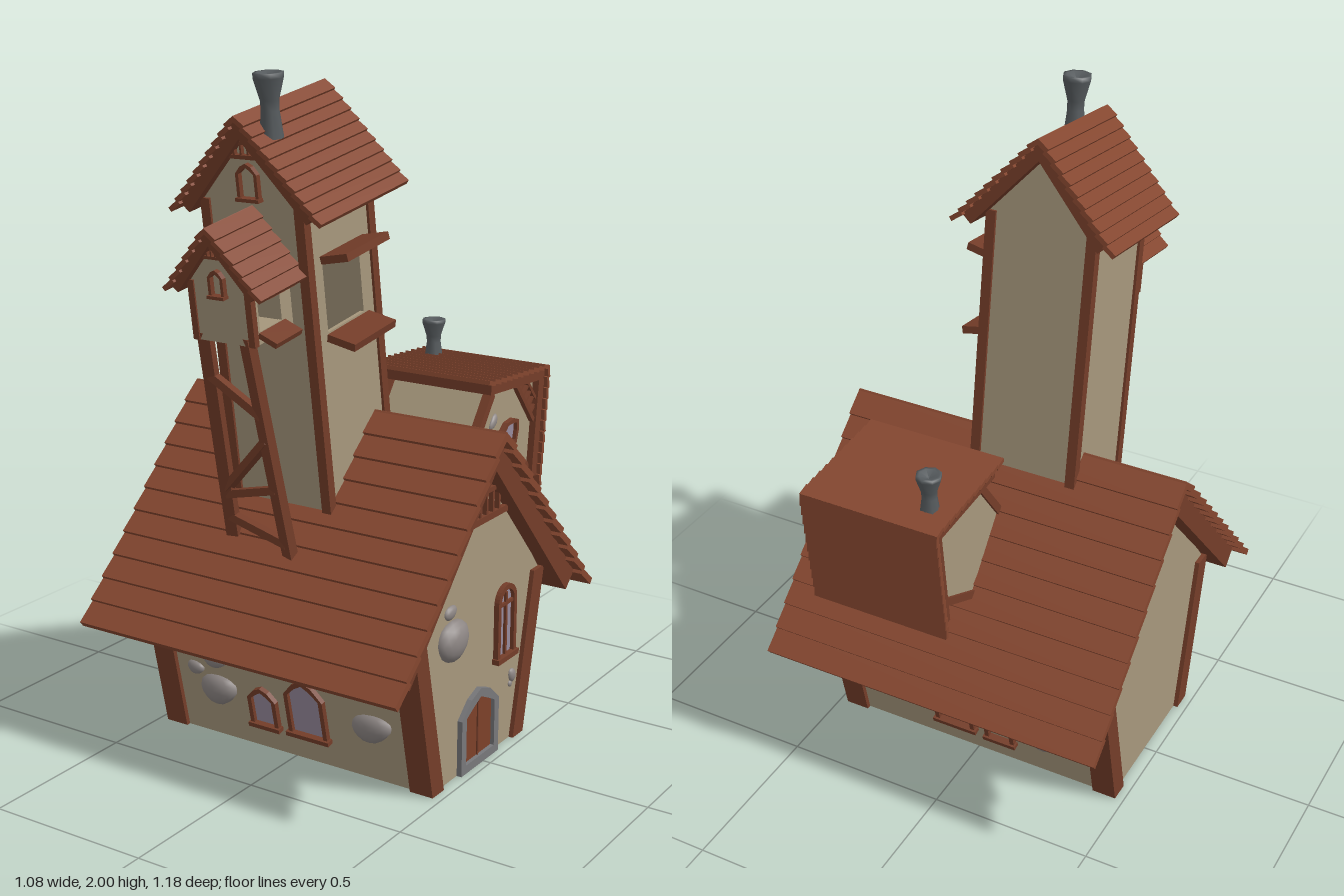
import * as THREE from 'three';

const material = (name, color) => Object.assign(new THREE.MeshStandardMaterial({ color }), { name });
const wall = material('plaster', 0xa6977c);
const wood = material('timber', 0x743d29);
const tile = material('roof boards', 0x84462f);
const stone = material('stone', 0x8c8583);
const glass = material('glass', 0x968a9c);
const iron = material('chimney metal', 0x565b5e);
const doorRed = material('door boards', 0x7c4029);
const arch = material('door arch stone', 0x77777a);

function add(parent, name, geo, mat, x = 0, y = 0, z = 0) {
  const m = new THREE.Mesh(geo, mat);
  m.name = name;
  m.position.set(x, y, z);
  parent.add(m);
  return m;
}
const box = (p, name, mat, w, h, d, x, y, z) => add(p, name, new THREE.BoxGeometry(w, h, d), mat, x, y, z);
const poly = (pts) => new THREE.Shape(pts.map((p) => new THREE.Vector2(...p)));
const extrude = (shape, depth) => new THREE.ExtrudeGeometry(shape, { depth, bevelEnabled: false, curveSegments: 8 });

// Overlapping boards on both slopes, over a timber chevron; ridge runs along z
function roof(g, { ridge, run, drop, z0, z1, rows, thick, slab, inset }) {
  const phi = Math.atan2(drop, run), step = Math.hypot(run, drop) / rows;
  const tilt = thick / step * 0.55;
  for (const s of [-1, 1]) {
    for (let i = 0; i < rows; i++) {
      const d = (i + 0.5) * step;
      const b = box(g, 'roofBoard', tile, step * 1.12, thick, z1 - z0,
        s * d * Math.cos(phi), ridge - thick * 0.5 - d * Math.sin(phi), (z0 + z1) / 2);
      b.rotation.z = -s * (phi - tilt);
    }
  }
  const m = drop / run, a = ridge - thick * 1.1, r = run * 0.9;
  const ix = r - slab * Math.sin(phi), iy = a - r * m - slab * Math.cos(phi);
  const chevron = poly([[0, a], [-r, a - r * m], [-ix, iy], [0, a - slab / Math.cos(phi)], [ix, iy], [r, a - r * m]]);
  add(g, 'roofFrame', extrude(chevron, z1 - z0 - 2 * inset), wood, 0, 0, z0 + inset);
}

// Gabled walls with corner posts; an opening [z0, z1, y0, y1] makes it hollow
function walls(g, { base, eave, y0, y1, apex, z0, z1, postW, postD, out, opening, frontOnly }) {
  const b = base - out, e = eave - out;
  const gable = poly([[-b, y0], [b, y0], [e, y1], [0, apex], [-e, y1]]);
  if (!opening) add(g, 'walls', extrude(gable, z1 - z0), wall, 0, 0, z0);
  else {
    const t = 0.012;
    add(g, 'frontWall', extrude(gable, t), wall, 0, 0, z1 - t);
    if (!frontOnly) add(g, 'backWall', extrude(gable, t), wall, 0, 0, z0);
    box(g, 'floor', wall, 2 * b, t, z1 - z0, 0, y0 + t / 2, (z0 + z1) / 2);
    box(g, 'plainSideWall', wall, t, y1 - y0, z1 - z0, -b + t / 2, (y0 + y1) / 2, (z0 + z1) / 2);
    const side = poly([[-z1, y0], [-z0, y0], [-z0, y1], [-z1, y1]]);
    const [a, c, l, h] = opening;
    side.holes.push(poly([[-c, l], [-c, h], [-a, h], [-a, l]]));
    add(g, 'openSideWall', extrude(side, t).rotateY(Math.PI / 2), wall, b - t, 0, 0);
  }
  for (const s of [-1, 1]) {
    const post = poly([[s * (base - postW), y0], [s * base, y0], [s * eave, y1], [s * (eave - postW), y1]]);
    add(g, 'cornerPost', extrude(post, postD), wood, 0, 0, z1 + out - postD);
    if (!frontOnly) add(g, 'cornerPost', extrude(post, postD), wood, 0, 0, z0 - out);
  }
}

// Small balustrade filling the top of a gable
function truss(g, y, half, h, slope, z, bars, w) {
  box(g, 'trussBeam', wood, 2 * half, w * 1.4, 0.02, 0, y, z);
  const top = half - h / slope;
  box(g, 'trussBeam', wood, 2 * top, w, 0.02, 0, y + h, z);
  for (let i = 0; i < bars; i++) {
    const x = (i / (bars - 1) - 0.5) * (half + top) * 0.9;
    box(g, 'trussBar', wood, w * 0.7, h, 0.016, x, y + h / 2, z);
  }
}

// Window and door outlines: pointed or round top
function outline(w, h, round, inset = 0) {
  const r = w / 2 - inset, s = new THREE.Shape();
  s.moveTo(-r, inset).lineTo(r, inset);
  if (round) s.lineTo(r, h - w / 2).absarc(0, h - w / 2, r, 0, Math.PI, false);
  else s.lineTo(r, h * 0.72).lineTo(r * 0.5, h * 0.92 - inset).lineTo(0, h - inset)
    .lineTo(-r * 0.5, h * 0.92 - inset).lineTo(-r, h * 0.72);
  return s.closePath();
}
function windowAt(p, x, y, w, h, z, { round = false, pane = glass, frame = wood, bar = 0.014, sill = true } = {}) {
  const g = new THREE.Group();
  g.name = 'window';
  g.position.set(x, y, z);
  const ring = outline(w, h, round);
  ring.holes.push(outline(w, h, round, bar));
  add(g, 'frame', extrude(ring, 0.02), frame, 0, 0, -0.004);
  if (pane) add(g, 'pane', new THREE.ShapeGeometry(outline(w, h, round, bar * 0.8)), pane, 0, 0, 0.004);
  if (sill) box(g, 'sill', wood, w * 1.1, bar, 0.03, 0, bar / 2, 0.008);
  p.add(g);
  return g;
}

function rock(p, x, y, z, w, h, turn = 0.2) {
  const m = add(p, 'wallStone', new THREE.IcosahedronGeometry(1, 2), stone, x, y, z);
  const pos = m.geometry.attributes.position;
  for (let i = 0; i < pos.count; i++) {
    const a = pos.getX(i), b = pos.getY(i);
    pos.setXY(i, a * (1 + 0.18 * b), b * (1 - 0.22 * a));
  }
  m.geometry.computeBoundingSphere();
  m.scale.set(w / 2, h / 2, Math.min(w, h) * 0.35);
  m.rotation.z = turn;
}

function chimney(p, x, y, z, r, h, lean) {
  const pts = [[0.8, 0], [0.6, 0.42], [0.62, 0.58], [1, 0.92], [1, 1], [0.75, 1], [0, 0.9]]
    .map(([a, b]) => new THREE.Vector2(a * r, b * h));
  add(p, 'chimney', new THREE.LatheGeometry(pts, 8), iron, x, y, z).rotation.x = lean;
}

function beam(p, name, a, b, w) {
  const m = box(p, name, wood, w, w * 0.8, a.distanceTo(b), 0, 0, 0);
  m.position.copy(a).lerp(b, 0.5);
  m.lookAt(b);
}

function group(parent, name, pos, rot = [0, 0, 0]) {
  const g = new THREE.Group();
  g.name = name;
  g.position.set(...pos);
  g.rotation.set(...rot);
  parent.add(g);
  return g;
}

export function createModel() {
  const model = new THREE.Group();
  model.name = 'crookedHouse';

  // Main house, gable facing +x
  const main = group(model, 'mainHouse', [0, 0, 0.02], [0, Math.PI / 2, 0]);
  walls(main, { base: 0.265, eave: 0.375, y0: 0, y1: 0.5, apex: 0.95, z0: -0.46, z1: 0.46, postW: 0.062, postD: 0.075, out: 0.014 });
  roof(main, { ridge: 1.02, run: 0.56, drop: 0.61, z0: -0.54, z1: 0.54, rows: 11, thick: 0.02, slab: 0.067, inset: 0.03 });
  truss(main, 0.75, 0.135, 0.08, 1.1, 0.466, 6, 0.014);
  const archWin = windowAt(main, 0.15, 0.275, 0.11, 0.235, 0.46, { round: true, bar: 0.016 });
  box(archWin, 'mullion', wood, 0.01, 0.2, 0.016, 0, 0.11, 0.004);
  box(archWin, 'transom', wood, 0.09, 0.01, 0.016, 0, 0.175, 0.004);
  const door = windowAt(main, 0, 0, 0.215, 0.238, 0.46, { pane: doorRed, frame: arch, bar: 0.026, sill: false });
  door.name = 'door';
  box(door, 'doorSeam', wood, 0.006, 0.19, 0.008, 0, 0.11, 0.004);
  rock(main, -0.15, 0.435, 0.46, 0.14, 0.12, 0.3);
  rock(main, -0.16, 0.52, 0.46, 0.06, 0.04);
  rock(main, 0.21, 0.2, 0.46, 0.035, 0.045);
  rock(main, 0.2, 0.175, 0.46, 0.02, 0.02);

  // Details on the two leaning long walls
  for (const s of [1, -1]) {
    const face = group(model, s > 0 ? 'frontWallDetails' : 'backWallDetails', [0, 0, 0.02 + s * 0.251],
      [s * 0.2166, s > 0 ? 0 : Math.PI, 0]);
    const pane = s > 0 ? glass : null;
    windowAt(face, s * -0.09, 0.08, 0.1, 0.14, 0, { pane });
    windowAt(face, s * 0.065, 0.085, 0.135, 0.2, 0, { pane });
    rock(face, s * -0.25, 0.168, 0, 0.13, 0.1);
    rock(face, s * -0.25, 0.275, 0, 0.09, 0.06, 0);
    rock(face, s * -0.33, 0.225, 0, 0.06, 0.045, 0);
    rock(face, s * 0.29, 0.18, 0, 0.135, 0.09, 0.25);
  }

  // Leaning tower
  const tower = group(model, 'tower', [-0.055, 0.7, 0.08], [0.147, 0, 0]);
  walls(tower, { base: 0.17, eave: 0.17, y0: 0, y1: 0.985, apex: 1.18, z0: -0.165, z1: 0.16, postW: 0.03, postD: 0.03, out: 0.008, opening: [-0.09, 0.09, 0.61, 0.81] });
  roof(tower, { ridge: 1.235, run: 0.245, drop: 0.275, z0: -0.23, z1: 0.206, rows: 10, thick: 0.014, slab: 0.036, inset: 0.015 });
  truss(tower, 1.112, 0.055, 0.038, 1.14, 0.165, 4, 0.008);
  windowAt(tower, 0, 0.99, 0.07, 0.105, 0.16, { pane: null, bar: 0.01 });
  box(tower, 'awning', wood, 0.09, 0.022, 0.21, 0.212, 0.83, 0).rotation.z = 0.2;
  box(tower, 'shelf', wood, 0.09, 0.022, 0.21, 0.212, 0.59, 0).rotation.z = -0.2;

  // Small turret hanging on the tower front
  const turret = group(tower, 'turret', [0, 0, 0]);
  walls(turret, { base: 0.103, eave: 0.103, y0: 0.645, y1: 0.815, apex: 0.94, z0: 0.15, z1: 0.34, postW: 0.02, postD: 0.02, out: 0.005, opening: [0.21, 0.31, 0.68, 0.775], frontOnly: true });
  roof(turret, { ridge: 0.98, run: 0.155, drop: 0.183, z0: 0.15, z1: 0.378, rows: 6, thick: 0.013, slab: 0.026, inset: 0.01 });
  truss(turret, 0.888, 0.035, 0.028, 1.2, 0.344, 4, 0.006);
  windowAt(turret, 0, 0.775, 0.05, 0.08, 0.34, { pane: null, bar: 0.009 });
  box(turret, 'awning', wood, 0.05, 0.012, 0.12, 0.122, 0.782, 0.262).rotation.z = 0.2;
  box(turret, 'shelf', wood, 0.06, 0.016, 0.12, 0.128, 0.662, 0.262).rotation.z = -0.4;

  // Trestle carrying the turret
  const trestle = group(model, 'trestle', [0, 0, 0]);
  const ends = [[[-0.132, 1.31, 0.5], [-0.165, 0.68, 0.34]], [[0.008, 1.31, 0.5], [0.04, 0.63, 0.345]]]
    .map((l) => l.map((p) => new THREE.Vector3(...p)));
  const at = (i, y) => ends[i][0].clone().lerp(ends[i][1], (ends[i][0].y - y) / (ends[i][0].y - ends[i][1].y));
  for (const [a, b] of ends) beam(trestle, 'trestleLeg', a, b, 0.036);
  for (const [l, r] of [[1.18, 1.08], [0.83, 1.01], [0.81, 0.86], [0.74, 0.69]]) {
    beam(trestle, 'trestleBrace', at(0, l), at(1, r), 0.028);
  }

  // Tilted dormer house on the back slope, gable facing +x
  const dormer = group(model, 'dormer', [0.14, 1.055, -0.582], [-0.873, Math.PI / 2, 0]);
  walls(dormer, { base: 0.14, eave: 0.19, y0: -0.46, y1: -0.25, apex: -0.06, z0: -0.165, z1: 0.185, postW: 0.025, postD: 0.028, out: 0.008 });
  roof(dormer, { ridge: 0.005, run: 0.258, drop: 0.272, z0: -0.217, z1: 0.218, rows: 11, thick: 0.013, slab: 0.034, inset: 0.012 });
  truss(dormer, -0.15, 0.085, 0.05, 1.06, 0.19, 5, 0.01);
  windowAt(dormer, 0, -0.395, 0.095, 0.185, 0.185, { bar: 0.013 });
  rock(dormer, -0.1, -0.3, 0.185, 0.03, 0.055, 0.1);

  // Flared chimneys
  chimney(model, 0, 1.825, 0.365, 0.042, 0.174, 0.08);
  chimney(model, 0, 1.05, -0.487, 0.037, 0.125, 0);
  return model;
}
